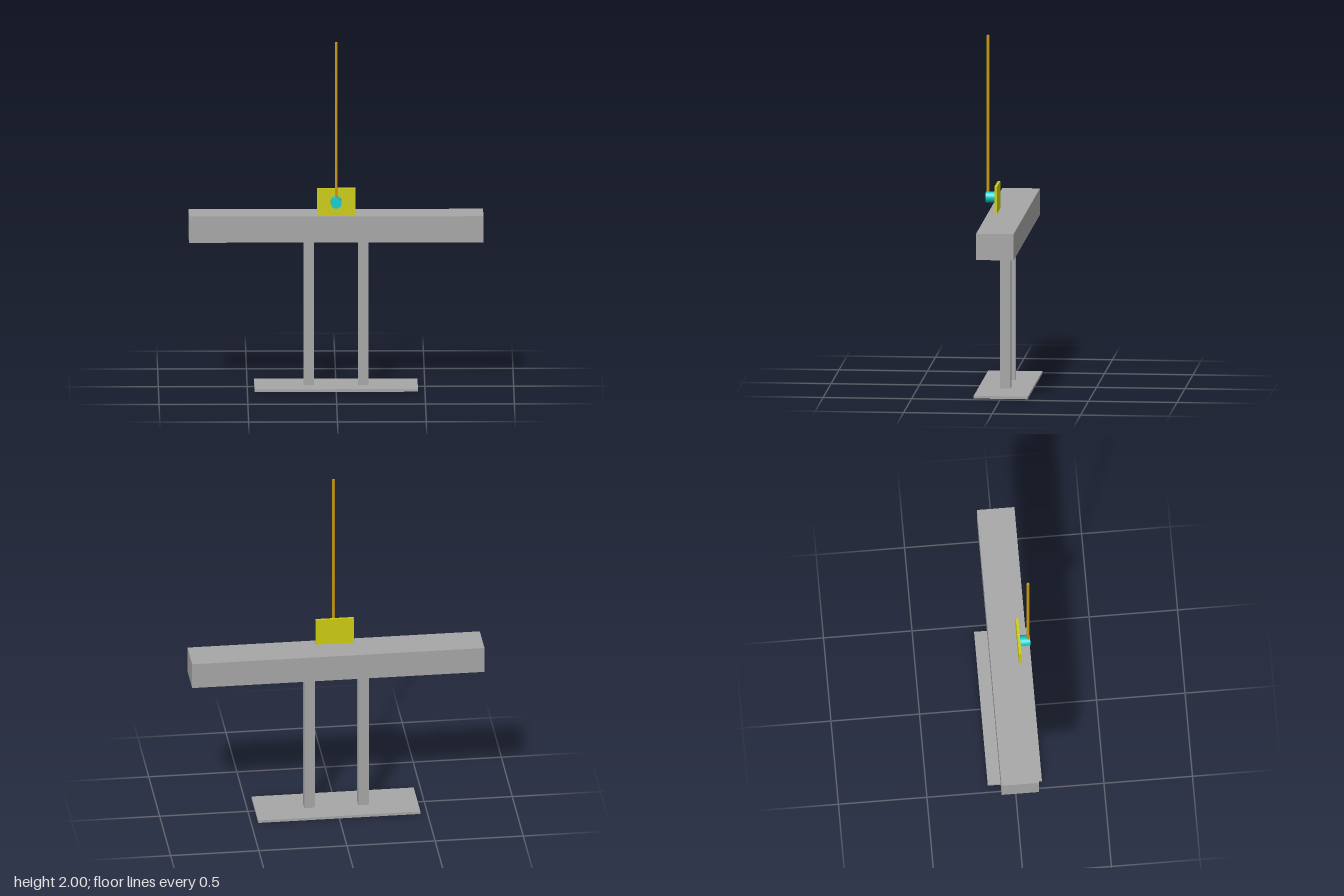
import * as THREE from 'three';

function mat(name, color) {
  const m = new THREE.MeshStandardMaterial({ color });
  m.name = name;
  return m;
}

export function createModel() {
  const model = new THREE.Group();
  model.name = 'cartPoleStand';
  const grey = mat('grey', 0xa6a6a6);
  const yellow = mat('yellow', 0xcccc10);
  const cyan = mat('cyan', 0x10cccc);
  const ochre = mat('ochre', 0xcc9a10);

  const add = (name, geometry, material, x, y, z) => {
    const mesh = new THREE.Mesh(geometry, material);
    mesh.name = name;
    mesh.position.set(x, y, z);
    model.add(mesh);
    return mesh;
  };

  // Stand: foot plate, two legs and the rail
  add('basePlate', new THREE.BoxGeometry(0.92, 0.015, 0.306), grey, 0, 0.0075, 0);
  for (const [name, side] of [['leftLeg', 1], ['rightLeg', -1]]) {
    add(name, new THREE.BoxGeometry(0.06, 0.835, 0.06), grey, side * 0.153, 0.4325, 0);
  }
  add('rail', new THREE.BoxGeometry(1.658, 0.15, 0.212), grey, 0, 0.923, 0);

  // Carriage plate on the rail
  add('carriage', new THREE.BoxGeometry(0.216, 0.154, 0.015), yellow, 0, 1.075, 0.06);

  // Pivot hub pointing forward
  const hub = add('pivotHub', new THREE.CylinderGeometry(0.031, 0.031, 0.057, 32), cyan, 0, 1.077, 0.096);
  hub.rotation.x = Math.PI / 2;

  // Slim upright pole rising from the hub
  add('pole', new THREE.CylinderGeometry(0.0077, 0.0077, 0.923, 20), ochre, 0, 1.5385, 0.113);

  return model;
}
